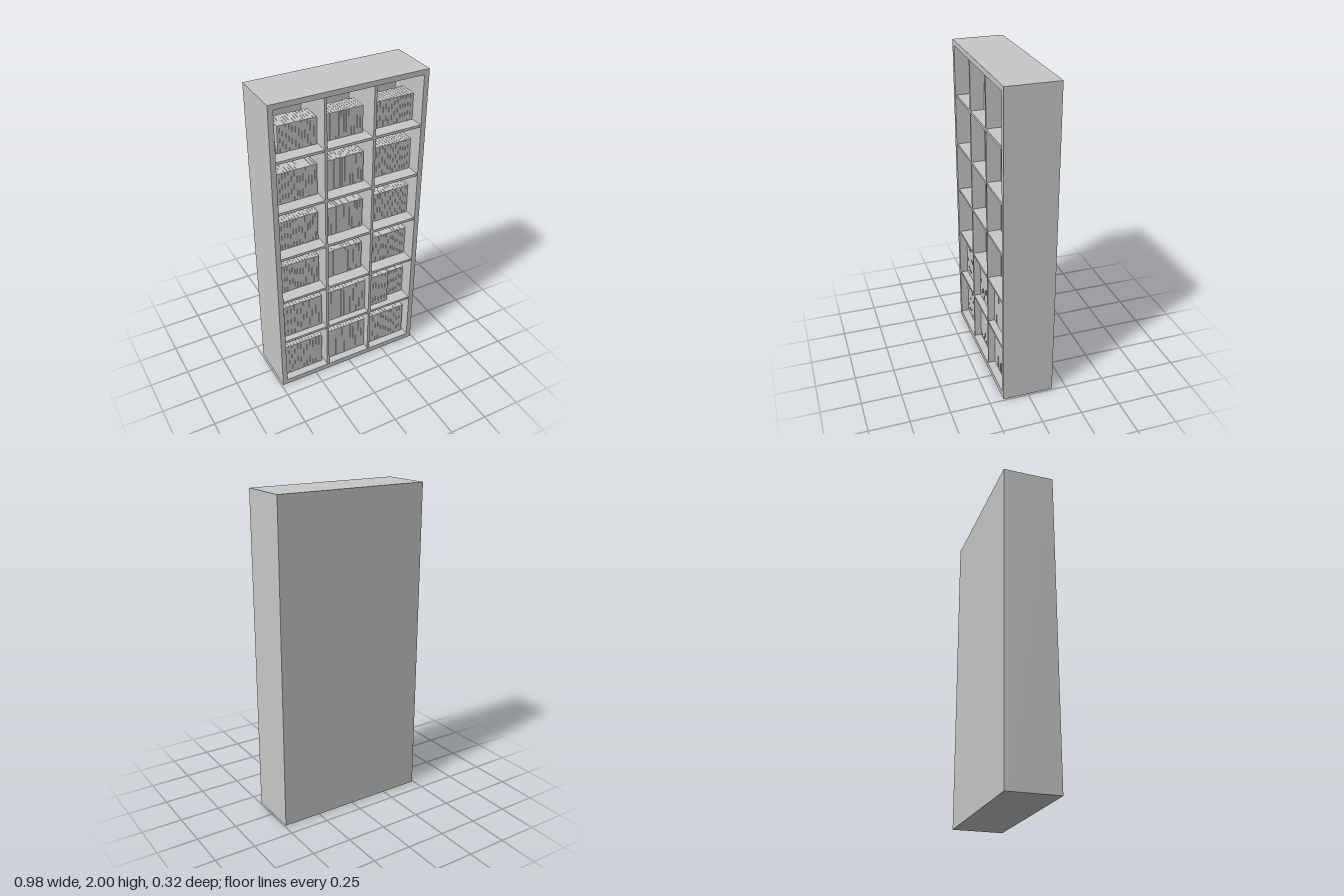
import * as THREE from 'three';

export function createModel() {
  const model = new THREE.Group();
  model.name = 'bookcase';
  const grey = new THREE.MeshStandardMaterial({ color: 0xc8c8c6 });
  grey.name = 'light grey';

  // Box given by its limits on each axis
  function box(name, x0, x1, y0, y1, z0, z1, parent = model) {
    const mesh = new THREE.Mesh(new THREE.BoxGeometry(x1 - x0, y1 - y0, z1 - z0), grey);
    mesh.position.set((x0 + x1) / 2, (y0 + y1) / 2, (z0 + z1) / 2);
    mesh.name = name;
    parent.add(mesh);
    return mesh;
  }

  // Outer case: one frame with a rectangular opening, closed by a back panel
  const W = 0.49, D = 0.16, inner = 0.458, floor = 0.035, ceiling = 1.968, back = -0.13;
  const outline = new THREE.Shape([[-W, 0], [W, 0], [W, 2], [-W, 2]].map(p => new THREE.Vector2(...p)));
  outline.holes.push(new THREE.Path(
    [[-inner, floor], [-inner, ceiling], [inner, ceiling], [inner, floor]].map(p => new THREE.Vector2(...p))));
  const frame = new THREE.Mesh(
    new THREE.ExtrudeGeometry(outline, { depth: D - back, bevelEnabled: false }), grey);
  frame.position.z = back;
  frame.name = 'caseFrame';
  model.add(frame);
  box('backPanel', -W, W, 0, 2, -D, back);

  // Shelves and upright dividers, set just behind the front edge
  const shelfTops = [0.365, 0.688, 1.01, 1.33, 1.657];
  const shelfFront = 0.152;
  shelfTops.forEach(y => box('shelf', -inner, inner, y - 0.016, y, back, shelfFront));
  for (const x of [-0.155, 0.153]) {
    box('divider', x - 0.008, x + 0.008, floor, ceiling, back, shelfFront + 0.001);
  }

  // Small seeded generator for the book thicknesses and depths
  let seed = 7;
  const random = () => (seed = (seed * 16807) % 2147483647) / 2147483647;

  // A row of upright books filling x0..x1
  function bookRow(x0, x1, y0, y1, front, depth, thickness) {
    const row = new THREE.Group();
    row.name = 'bookRow';
    const count = Math.round((x1 - x0) / thickness);
    const sizes = Array.from({ length: count }, () => 0.85 + 0.3 * random());
    const scale = (x1 - x0) / sizes.reduce((a, b) => a + b, 0);
    let x = x0;
    for (const size of sizes) {
      const w = size * scale;
      box('book', x + 0.0007, x + w - 0.0007, y0, y1, front - depth * (0.9 + 0.15 * random()), front, row);
      x += w;
    }
    model.add(row);
  }

  // Bottom two rows: large books near the front
  const large = (x0, x1, y0, y1) => bookRow(x0, x1, y0, y1, 0.11, 0.17, 0.0215);
  large(-0.457, -0.178, floor, 0.267);
  large(-0.145, 0.142, floor, 0.267);
  large(0.162, 0.445, floor, 0.267);
  large(-0.457, -0.175, 0.365, 0.6);
  large(-0.145, 0.142, 0.365, 0.6);
  large(0.162, 0.315, 0.365, 0.6);

  // Upper rows and one short set: small books standing further back
  const small = (x0, x1, y0, y1) => bookRow(x0, x1, y0, y1, 0.07, 0.12, 0.0185);
  small(0.327, 0.456, 0.365, 0.567);
  [[0.688, 0.885], [1.01, 1.206], [1.33, 1.53]].forEach(([y0, y1]) => {
    small(-0.457, -0.17, y0, y1);
    small(-0.14, 0.132, y0, y1);
    small(0.168, 0.456, y0, y1);
  });
  small(-0.406, -0.166, 1.657, 1.823);
  small(-0.145, 0.125, 1.657, 1.823);
  small(0.195, 0.456, 1.657, 1.823);

  // Two loose books leaning at the end of the top row
  for (const x of [-0.446, -0.426]) {
    const book = box('leaningBook', x - 0.0065, x + 0.0065, 1.658, 1.822, -0.05, 0.07);
    book.rotation.z = x < -0.44 ? 0.03 : 0.08;
  }

  return model;
}
